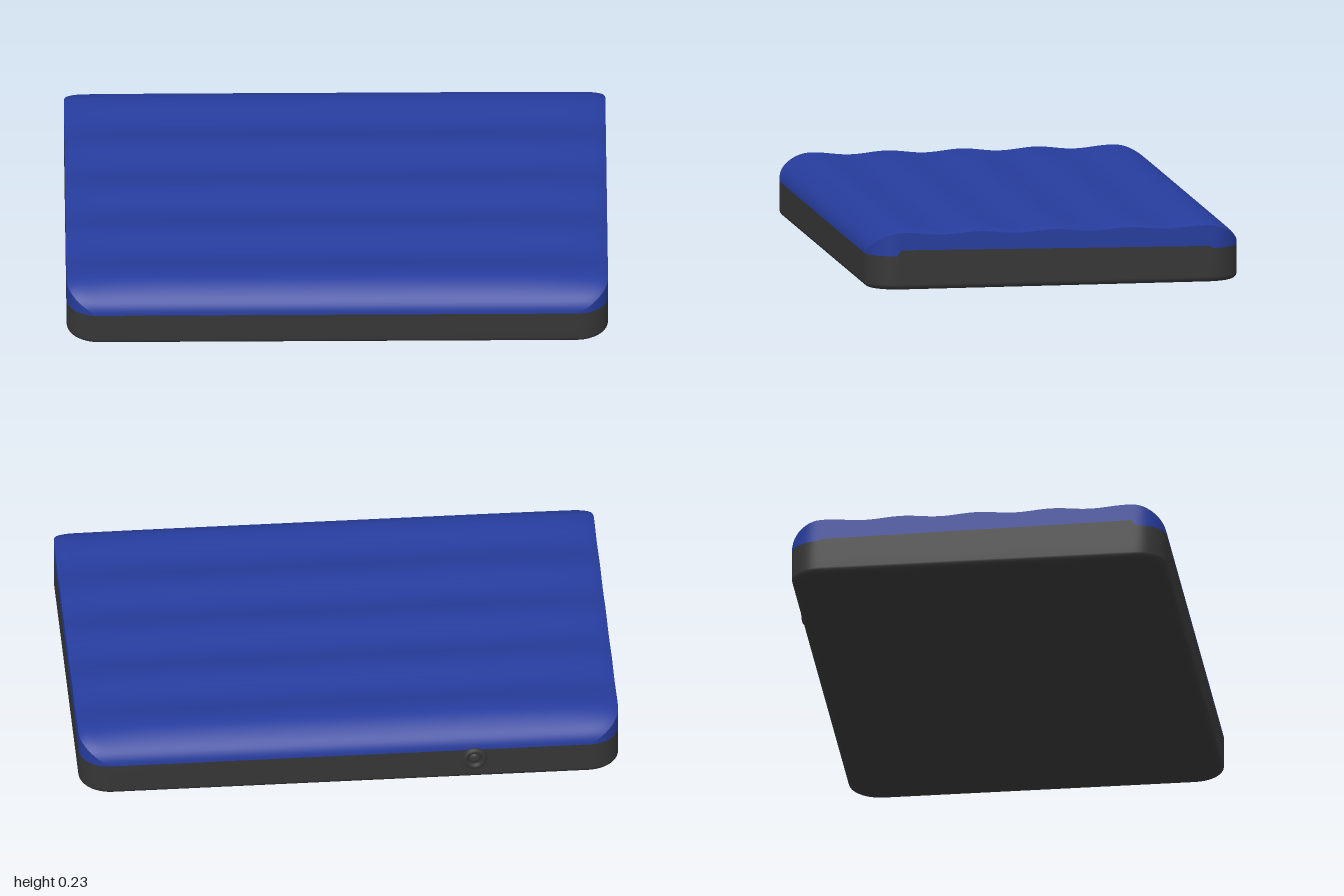
import * as THREE from 'three';

const Z0 = -0.69, Z1 = 0.705, R = 0.11, ROLL = 0.12, SEAM = 0.127;

// rows across the mattress, denser on the rolled long edges
function makeRows() {
  const d = [];
  for (let i = 0; i <= 12; i++) d.push(ROLL * (1 - Math.cos((i / 12) * Math.PI / 2)));
  const rows = d.map((v) => Z0 + v);
  const span = Z1 - Z0 - 2 * ROLL;
  for (let i = 1; i < 60; i++) rows.push(Z0 + ROLL + (span * i) / 60);
  return rows.concat(d.map((v) => Z1 - v).reverse());
}

const edge = (z) => Math.max(0, Math.min(z - Z0, Z1 - z));
const halfWidth = (z) => {
  const t = Math.max(0, R - edge(z));
  return 1 - R + Math.sqrt(Math.max(0, R * R - t * t));
};

// quilted ridges that flatten towards the ends
function topHeight(u, z) {
  const a = Math.abs(u);
  const ridge = 0.01 * (1 + Math.cos((2 * Math.PI * (z - 0.01)) / 0.28));
  const drop = 0.008 * Math.pow(Math.max(0, (a - 0.95) / 0.05), 2);
  const h = 0.212 + ridge * (1 - 0.55 * Math.pow(a, 6)) - drop;
  const t = Math.max(0, 1 - edge(z) / ROLL);
  return SEAM + (h - SEAM) * Math.sqrt(Math.max(0, 1 - t * t));
}

// seam between the two colours, raised along the short sides
function seamHeight(z) {
  if (z > 0.6 || z < -0.58) return SEAM;
  return 0.135 + (0.014 * (z + 0.58)) / 1.18;
}

// skins a grid of points; closed joins the last column to the first
function skin(grid, closed) {
  const n = grid[0].length, index = [];
  for (let i = 0; i < grid.length - 1; i++) {
    for (let j = 0; j < (closed ? n : n - 1); j++) {
      const k = (j + 1) % n;
      const a = i * n + j, b = i * n + k, c = a + n, d = b + n;
      index.push(a, c, b, b, c, d);
    }
  }
  const g = new THREE.BufferGeometry();
  g.setAttribute('position', new THREE.Float32BufferAttribute(grid.flat(2), 3));
  g.setIndex(index);
  g.computeVertexNormals();
  return g;
}

export function createModel() {
  const blue = new THREE.MeshStandardMaterial({ color: 0x263c9c });
  blue.name = 'blue fabric';
  const grey = new THREE.MeshStandardMaterial({ color: 0x363636 });
  grey.name = 'dark grey base';

  const group = new THREE.Group();
  group.name = 'airMattress';
  const add = (name, geometry, material) => {
    const mesh = new THREE.Mesh(geometry, material);
    mesh.name = name;
    group.add(mesh);
    return mesh;
  };

  const rows = makeRows();
  const right = rows.map((z) => [halfWidth(z), z]);
  const outline = right.concat(right.map(([x, z]) => [-x, z]).reverse());
  const mid = (Z0 + Z1) / 2;
  const ring = (inset, y) => outline.map(([x, z]) => [
    x * (1 - inset), y, mid + (z - mid) * (1 - inset / 0.7),
  ]);

  // base: flat underside, small rounded lower edge, straight wall
  const floor = ring(0.02, 0);
  add('underside', skin([floor.map(() => [0, 0, mid]), floor], true), grey);
  const baseLoops = [];
  for (let i = 0; i <= 5; i++) {
    const t = (i / 5) * Math.PI / 2;
    baseLoops.push(ring(0.02 * (1 - Math.sin(t)), 0.02 * (1 - Math.cos(t))));
  }
  const seam = outline.map(([x, z]) => [x, seamHeight(z), z]);
  // the seam never rises above the rolled edge
  seam.forEach((p) => { p[1] = Math.min(p[1], topHeight(1, p[2])); });
  baseLoops.push(ring(0, 0.06), seam);
  add('base', skin(baseLoops, true), grey);

  // fabric wall between seam and top
  const rim = outline.map(([x, z]) => [x, topHeight(1, z), z]);
  add('fabricSides', skin([seam, rim], true), blue);

  // quilted top
  const columns = [];
  for (let j = 0; j <= 48; j++) columns.push(Math.sin(((j / 48) - 0.5) * Math.PI));
  add('quiltedTop', skin(rows.map((z) => columns.map((u) => [
    u * halfWidth(z), topHeight(u, z), z,
  ])), false), blue);

  // inflation valve on the back
  const valve = new THREE.Group();
  valve.name = 'valve';
  valve.position.set(-0.46, 0.09, Z0);
  const collar = new THREE.Mesh(new THREE.TorusGeometry(0.034, 0.012, 12, 32), grey);
  collar.name = 'valveCollar';
  collar.position.z = -0.002;
  const plug = new THREE.Mesh(new THREE.SphereGeometry(0.022, 20, 12), grey);
  plug.name = 'valvePlug';
  plug.scale.z = 0.5;
  valve.add(collar, plug);
  group.add(valve);

  return group;
}
